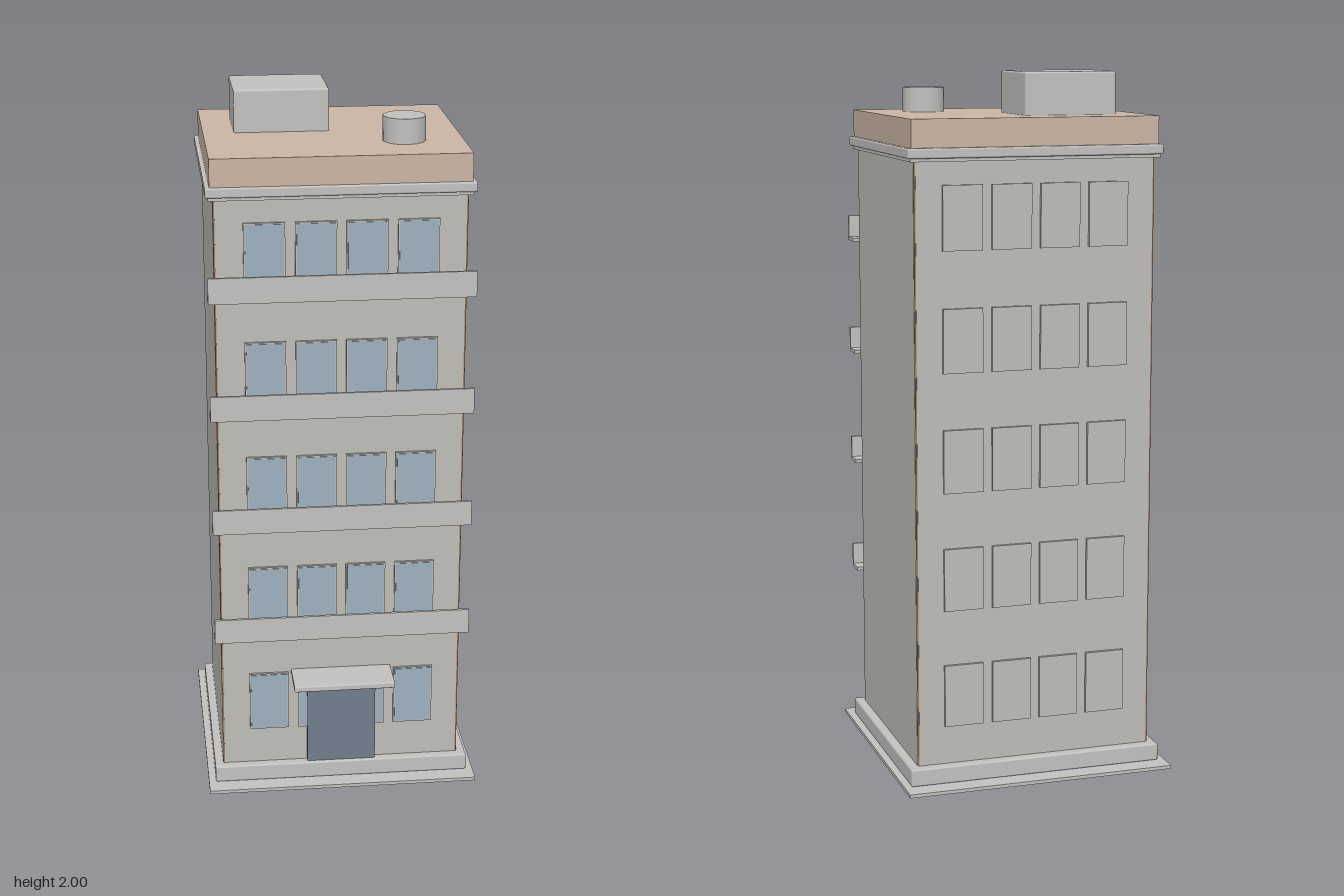
import * as THREE from 'three';
import { RoundedBoxGeometry } from 'three/addons/geometries/RoundedBoxGeometry.js';

const material = (name, color) => {
  const m = new THREE.MeshStandardMaterial({ color });
  m.name = name;
  return m;
};

export function createModel() {
  const wall = material('wall grey', 0xc0bdb8);
  const concrete = material('concrete grey', 0xc3c2c0);
  const tan = material('roof tan', 0xcbb6a5);
  const brown = material('corner brown', 0xa87a55);
  const glass = material('window blue', 0x9eb1c0);
  const doorBlue = material('door slate', 0x717e8c);

  const model = new THREE.Group();
  model.name = 'apartmentBlock';

  // Box given by its extents; a bevel radius gives softened edges
  function box(name, mat, [x0, x1], [y0, y1], [z0, z1], bevel = 0, parent = model) {
    const size = [x1 - x0, y1 - y0, z1 - z0];
    const geometry = bevel
      ? new RoundedBoxGeometry(...size, 2, bevel)
      : new THREE.BoxGeometry(...size);
    const mesh = new THREE.Mesh(geometry, mat);
    mesh.name = name;
    mesh.position.set((x0 + x1) / 2, (y0 + y1) / 2, (z0 + z1) / 2);
    parent.add(mesh);
    return mesh;
  }

  // Ground slab and plinth
  box('groundSlab', concrete, [-0.394, 0.392], [0, 0.01], [-0.415, 0.371]);
  box('plinth', concrete, [-0.374, 0.372], [0.01, 0.06], [-0.36, 0.32], 0.005);

  // Tower: brown core showing only at the corners, faced with wall panels
  const bx = [-0.349, 0.345], by = [0.06, 1.77], bz = [-0.33, 0.294];
  const inset = 0.004, proud = 0.001;
  box('cornerCore', brown, bx, by, bz);
  box('frontBackWalls', wall, [bx[0] + inset, bx[1] - inset], by, [bz[0] - proud, bz[1] + proud]);
  box('sideWalls', wall, [bx[0] - proud, bx[1] + proud], by, [bz[0] + inset, bz[1] - inset]);

  // Stepped cornice and roof block
  box('lowerCornice', concrete, [-0.362, 0.358], [1.765, 1.776], [-0.343, 0.306]);
  box('cornice', concrete, [-0.37, 0.367], [1.774, 1.802], [-0.352, 0.313], 0.005);
  box('roofBlock', tan, [-0.358, 0.355], [1.8, 1.88], [-0.341, 0.305]);

  // Rooftop equipment
  box('roofHousing', concrete, [-0.271, -0.003], [1.875, 2.0], [-0.232, -0.011], 0.006);
  const tank = new THREE.Mesh(new THREE.CylinderGeometry(0.06, 0.06, 0.075, 14), concrete);
  tank.name = 'roofTank';
  tank.position.set(0.19, 1.9125, 0.126);
  model.add(tank);

  // Five floors of windows, with balconies above the ground floor
  const columns = [-0.212, -0.071, 0.069, 0.21];
  for (let floor = 0; floor < 5; floor++) {
    const y = 0.175 + floor * 0.3378;
    const group = new THREE.Group();
    group.name = `floor${floor + 1}`;
    model.add(group);

    for (const x of columns) {
      box('windowFrame', wall, [x - 0.057, x + 0.057], [y - 0.004, y + 0.175], [0.29, 0.302], 0, group);
      box('windowPane', glass, [x - 0.053, x + 0.053], [y, y + 0.171], [0.3, 0.304], 0, group);
      box('backWindowPanel', wall, [x - 0.057, x + 0.057], [y - 0.004, y + 0.175], [-0.34, -0.325], 0, group);
    }
    if (floor > 0) {
      const b = y - 0.036;
      box('balconyFloor', concrete, [-0.369, 0.365], [b, b + 0.01], [0.29, 0.347], 0, group);
      box('balconyRail', concrete, [-0.369, 0.365], [b, b + 0.073], [0.341, 0.349], 0, group);
    }
  }

  // Entrance
  box('door', doorBlue, [-0.101, 0.099], [0.06, 0.343], [0.29, 0.31]);
  box('canopy', concrete, [-0.147, 0.144], [0.34, 0.358], [0.29, 0.411], 0.004);

  return model;
}
